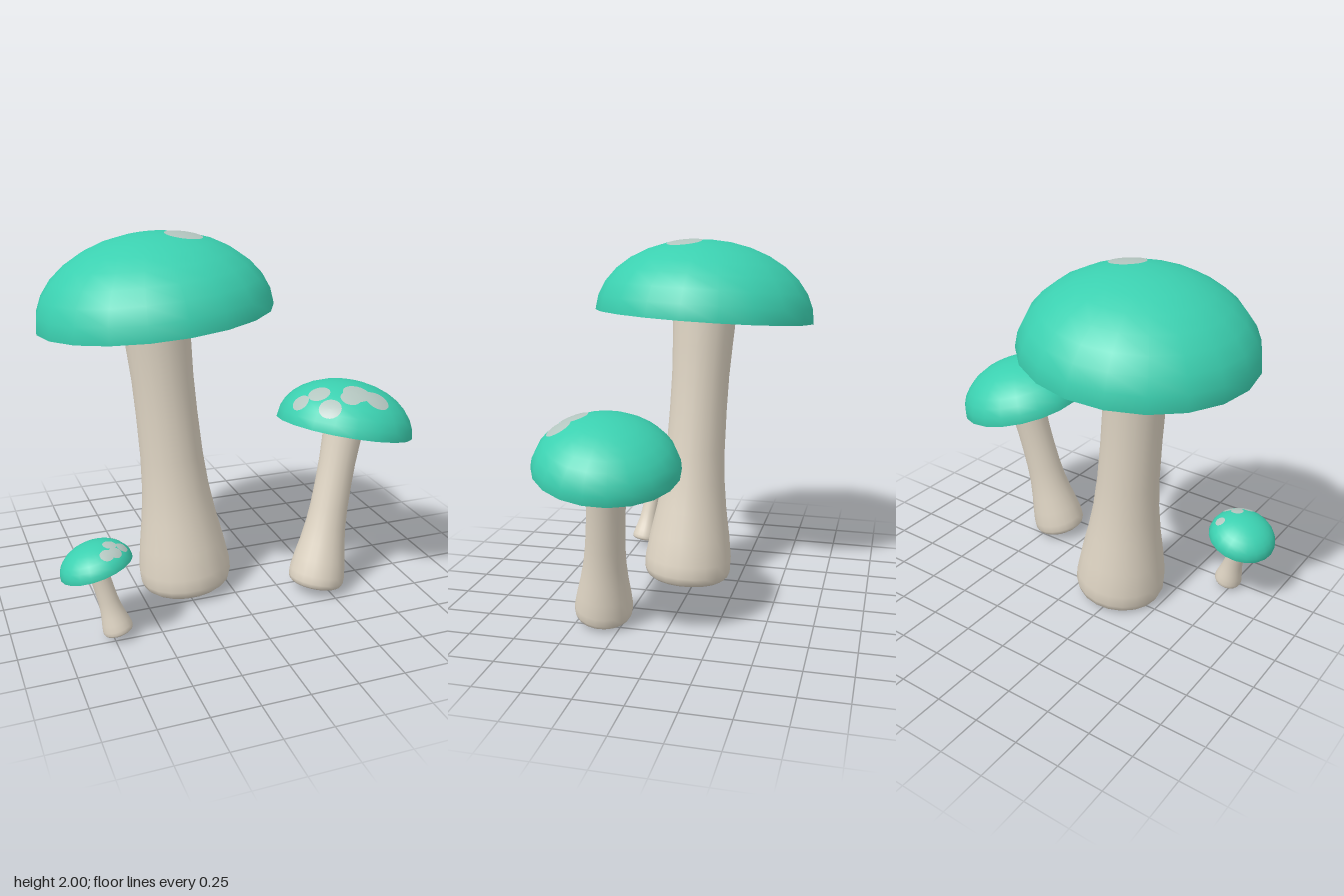
import * as THREE from 'three';

const capMat = new THREE.MeshStandardMaterial({ color: 0x3bd0b0 });
capMat.name = 'teal cap';
const stemMat = new THREE.MeshStandardMaterial({ color: 0xdfd5c4 });
stemMat.name = 'cream stem';
const spotMat = new THREE.MeshStandardMaterial({ color: 0xb4c6c0 });
spotMat.name = 'pale spot';

const UP = new THREE.Vector3(0, 1, 0);
const SIDES = 20;
const CAP_RATIO = 0.69; // cap height over cap radius

// Stem outline as [radius / base radius, height / stem length]
const STEM = [[0, 0], [0.86, 0], [0.95, 0.012], [1, 0.035], [1, 0.08], [0.92, 0.17],
  [0.81, 0.27], [0.72, 0.38], [0.67, 0.5], [0.65, 0.65], [0.65, 0.78], [0.68, 0.9], [0.71, 1]];

function add(parent, name, geometry, material) {
  const mesh = new THREE.Mesh(geometry, material);
  mesh.name = name;
  parent.add(mesh);
  return mesh;
}

// Thin round patch that follows the dome, centred at local (u, w)
function spotGeometry(R, u, w, r) {
  const H = R * CAP_RATIO;
  const v = H * Math.sqrt(Math.max(0, 1 - (u * u + w * w) / (R * R)));
  const centre = new THREE.Vector3(u, v, w);
  const normal = new THREE.Vector3(u / (R * R), v / (H * H), w / (R * R)).normalize();
  const turn = new THREE.Quaternion().setFromUnitVectors(new THREE.Vector3(0, 0, 1), normal);
  const geometry = new THREE.RingGeometry(0.0005, r, 20, 4);
  const pos = geometry.attributes.position;
  const p = new THREE.Vector3();
  for (let i = 0; i < pos.count; i++) {
    p.fromBufferAttribute(pos, i).applyQuaternion(turn).add(centre);
    p.y = Math.max(p.y, 0.01 * R);
    const k = Math.hypot(p.x / R, p.y / H, p.z / R);
    p.multiplyScalar(1.008 / k);
    pos.setXYZ(i, p.x, p.y, p.z);
  }
  geometry.computeVertexNormals();
  return geometry;
}

// One upright mushroom leaned along the line from its base to its cap
function mushroom({ name, base, top, stemRadius, capRadius, spots, underSpots = [] }) {
  const group = new THREE.Group();
  group.name = name;
  const foot = new THREE.Vector3(...base);
  const axis = new THREE.Vector3(...top).sub(foot);
  const length = axis.length();
  group.position.copy(foot);
  group.quaternion.setFromUnitVectors(UP, axis.normalize());

  const profile = STEM.map(([r, y]) => new THREE.Vector2(r * stemRadius, y * length));
  add(group, 'stem', new THREE.LatheGeometry(profile, SIDES), stemMat);

  const cap = new THREE.Group();
  cap.name = 'cap';
  cap.position.y = length;
  group.add(cap);
  const dome = new THREE.SphereGeometry(capRadius, SIDES, 8, 0, Math.PI * 2, 0, Math.PI / 2);
  dome.scale(1, CAP_RATIO, 1);
  add(cap, 'dome', dome, capMat);
  add(cap, 'underside', new THREE.CircleGeometry(capRadius, SIDES).rotateX(Math.PI / 2), capMat);

  for (const [u, w, r] of spots) add(cap, 'spot', spotGeometry(capRadius, u, w, r), spotMat);
  underSpots.forEach(([u, w, r], i) => {
    const disc = new THREE.CircleGeometry(r, 20).rotateX(Math.PI / 2);
    add(cap, 'undersideSpot', disc, spotMat).position.set(u, -0.003 - i * 0.0005, w);
  });
  return group;
}

export function createModel() {
  const model = new THREE.Group();
  model.name = 'mushrooms';
  model.add(
    mushroom({
      name: 'tallMushroom',
      base: [-0.225, 0.025, 0.055], top: [-0.355, 1.565, -0.018],
      stemRadius: 0.255, capRadius: 0.622,
      spots: [[0.17, 0.107, 0.1]],
      underSpots: [[0.16, 0.15, 0.1], [0.07, 0.2, 0.09], [0.13, -0.04, 0.12]],
    }),
    mushroom({
      name: 'mediumMushroom',
      base: [0.438, 0.045, 0.36], top: [0.625, 0.925, 0.265],
      stemRadius: 0.155, capRadius: 0.375,
      spots: [[-0.245, 0.115, 0.06], [-0.325, 0.08, 0.05], [-0.23, 0.235, 0.06],
        [-0.07, 0.197, 0.075], [0.03, 0.245, 0.07], [-0.115, 0.225, 0.055]],
    }),
    mushroom({
      name: 'smallMushroom',
      base: [-0.722, 0.035, 0.46], top: [-0.812, 0.395, 0.407],
      stemRadius: 0.078, capRadius: 0.19,
      spots: [[0.055, 0.13, 0.036], [0.1, 0.115, 0.035], [0.145, 0.065, 0.033],
        [0.09, 0.06, 0.036], [0.13, -0.06, 0.03]],
    }),
  );
  return model;
}
